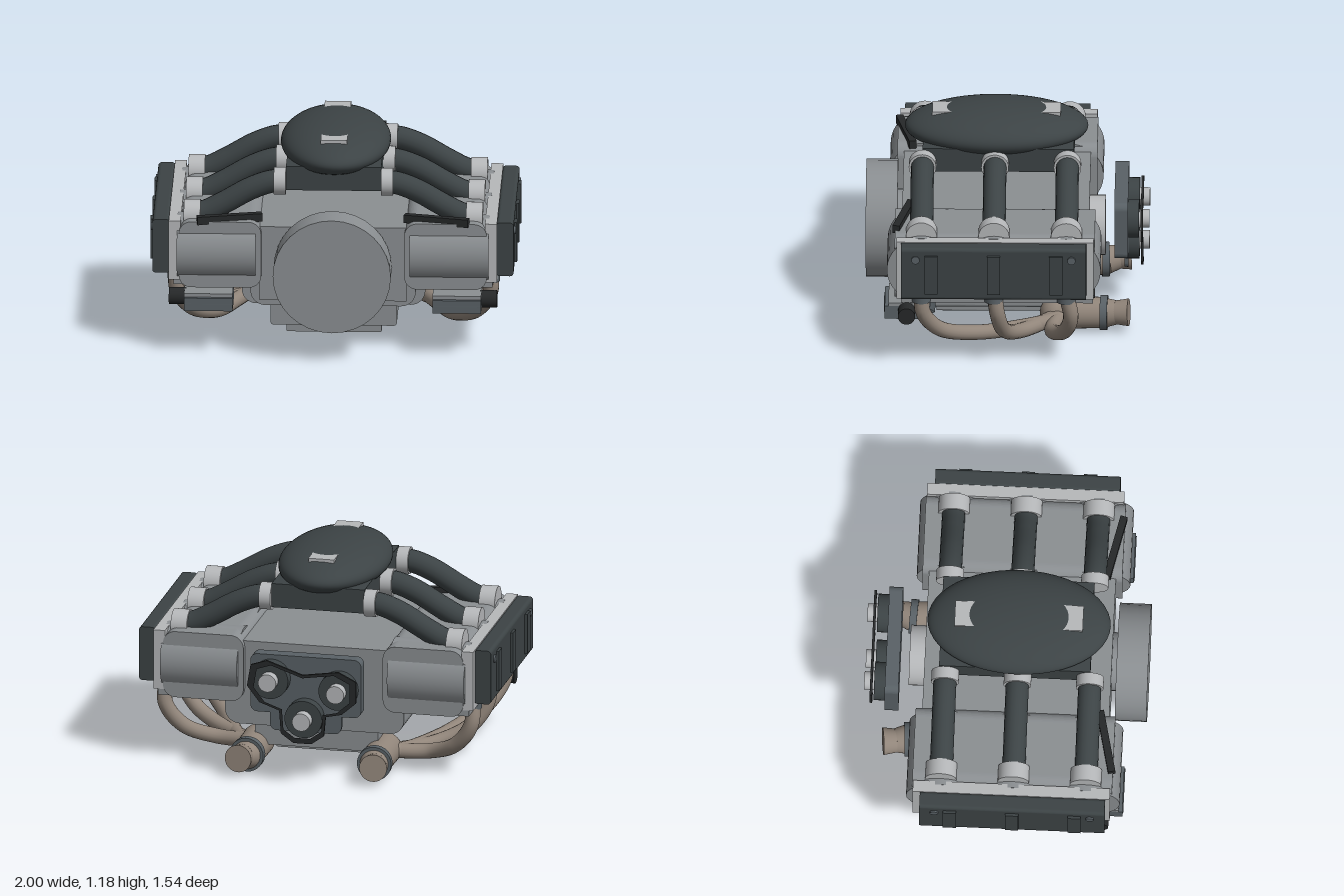
import * as THREE from 'three';

const mat = (color) => new THREE.MeshStandardMaterial({ color });
const BODY = mat(0x8b8f92), LIGHT = mat(0xb6b8ba), DARK = mat(0x3c4345);
const BLACK = mat(0x262829), TAN = mat(0x91857a), STEEL = mat(0x596166);
const V = (x, y, z) => new THREE.Vector3(x, y, z);

function add(parent, name, geometry, material) {
  const mesh = new THREE.Mesh(geometry, material);
  mesh.name = name;
  parent.add(mesh);
  return mesh;
}

// Box given by its limits
function box(parent, name, material, x0, x1, y0, y1, z0, z1) {
  const m = add(parent, name, new THREE.BoxGeometry(x1 - x0, y1 - y0, z1 - z0), material);
  m.position.set((x0 + x1) / 2, (y0 + y1) / 2, (z0 + z1) / 2);
  return m;
}

// Block with rounded lengthwise edges, running along z
function roundBlock(parent, name, material, x0, x1, y0, y1, z0, z1, r) {
  const s = new THREE.Shape();
  s.moveTo(x0 + r, y0);
  s.absarc(x1 - r, y0 + r, r, -Math.PI / 2, 0);
  s.absarc(x1 - r, y1 - r, r, 0, Math.PI / 2);
  s.absarc(x0 + r, y1 - r, r, Math.PI / 2, Math.PI);
  s.absarc(x0 + r, y0 + r, r, Math.PI, Math.PI * 1.5);
  const g = new THREE.ExtrudeGeometry(s, { depth: z1 - z0, bevelEnabled: false, curveSegments: 6 });
  return add(parent, name, g.translate(0, 0, z0), material);
}

// Round bar or cone between two points
function rod(parent, name, material, a, b, ra, rb = ra) {
  const dir = b.clone().sub(a);
  const m = add(parent, name, new THREE.CylinderGeometry(rb, ra, dir.length(), 32), material);
  m.position.copy(a).add(b).multiplyScalar(0.5);
  m.quaternion.setFromUnitVectors(V(0, 1, 0), dir.normalize());
  return m;
}

function pipe(parent, name, material, points, r) {
  const curve = new THREE.CatmullRomCurve3(points.map((p) => V(...p)));
  return add(parent, name, new THREE.TubeGeometry(curve, 40, r, 16), material);
}

const PORTS = [0.46, 0.065, -0.33];

// One bank of three cylinders; side is +1 or -1
function bank(side) {
  const g = new THREE.Group();
  g.name = side > 0 ? 'leftBank' : 'rightBank';
  const x = (v) => v * side;
  const span = (a, b) => (side > 0 ? [a, b] : [-b, -a]);

  roundBlock(g, 'cylinderHead', BODY, ...span(0.39, 0.84), 0.38, 0.755, -0.485, 0.605, 0.07);
  box(g, 'headFlange', LIGHT, ...span(0.83, 0.895), 0.42, 0.755, -0.48, 0.595);
  box(g, 'headRail', BODY, ...span(0.66, 0.87), 0.385, 0.46, -0.475, 0.57);
  roundBlock(g, 'valveCover', DARK, ...span(0.89, 0.985), 0.45, 0.755, -0.44, 0.57, 0.02);
  for (const z of [0.405, 0.065, -0.275])
    box(g, 'coverRib', DARK, ...span(0.97, 1), 0.49, 0.715, z - 0.036, z + 0.036);
  for (const z of [0.49, -0.36])
    rod(g, 'coverBolt', STEEL, V(x(0.97), 0.69, z), V(x(0.995), 0.69, z), 0.022);

  // Barrels, intake runners and exhaust flanges, one set per cylinder
  for (const z of PORTS) {
    rod(g, 'barrel', BODY, V(x(0.42), 0.57, z), V(x(0.85), 0.57, z), 0.188);
    pipe(g, 'intakeRunner', DARK, [[x(0.27), 0.95, z], [x(0.34), 0.945, z], [x(0.45), 0.905, z],
      [x(0.6), 0.82, z], [x(0.7), 0.77, z], [x(0.8), 0.75, z]], 0.063);
    rod(g, 'plenumCollar', LIGHT, V(x(0.26), 0.948, z), V(x(0.325), 0.948, z), 0.075, 0.075);
    rod(g, 'headCollar', LIGHT, V(x(0.725), 0.75, z), V(x(0.815), 0.75, z), 0.085);
    rod(g, 'exhaustFlange', STEEL, V(x(0.855), 0.39, z), V(x(0.855), 0.45, z), 0.052);
  }

  // Exhaust headers meeting in a collector
  const headers = [
    [[0.86, 0.43, 0.46], [0.855, 0.32, 0.45], [0.78, 0.19, 0.36], [0.65, 0.11, 0.17],
      [0.54, 0.095, -0.08], [0.45, 0.1, -0.26], [0.36, 0.1, -0.33]],
    [[0.86, 0.43, 0.06], [0.855, 0.31, 0.045], [0.77, 0.18, 0.01], [0.6, 0.1, -0.08], [0.38, 0.1, -0.3]],
    [[0.86, 0.43, -0.33], [0.855, 0.3, -0.355], [0.76, 0.17, -0.32], [0.6, 0.1, -0.25], [0.38, 0.1, -0.29]],
  ];
  for (const h of headers)
    pipe(g, 'exhaustHeader', TAN, h.map(([px, py, pz]) => [x(px), py, pz]), 0.042);
  add(g, 'collectorBall', new THREE.SphereGeometry(0.09, 28, 18), TAN).position.set(x(0.355), 0.1, -0.27);
  rod(g, 'collector', TAN, V(x(0.355), 0.1, -0.27), V(x(0.355), 0.1, -0.52), 0.09, 0.085);
  rod(g, 'collectorClamp', STEEL, V(x(0.355), 0.1, -0.51), V(x(0.357), 0.1, -0.55), 0.095);
  rod(g, 'tailpipe', TAN, V(x(0.357), 0.1, -0.54), V(x(0.37), 0.108, -0.6), 0.08, 0.066);
  rod(g, 'tailpipeTip', TAN, V(x(0.37), 0.108, -0.59), V(x(0.378), 0.112, -0.665), 0.064, 0.076);

  // Cooler under the front of the head
  const cooler = add(g, 'cooler', new THREE.CylinderGeometry(1, 1, 0.26, 6, 1), STEEL);
  cooler.geometry.rotateZ(Math.PI / 2).scale(1, 0.05, 0.14);
  cooler.position.set(x(0.675), 0.3, 0.525);
  box(g, 'coolerBody', STEEL, ...span(0.545, 0.81), 0.262, 0.335, 0.5, 0.66);
  box(g, 'coolerLid', BODY, ...span(0.545, 0.81), 0.335, 0.355, 0.41, 0.64);
  rod(g, 'coolerCap', BLACK, V(x(0.8), 0.31, 0.54), V(x(0.895), 0.31, 0.54), 0.047);

  // Slanted bar over the front of the head
  const bar = add(g, 'frontBar', new THREE.BoxGeometry(0.36, 0.045, 0.04), BLACK);
  bar.position.set(x(0.565), 0.762, 0.56);
  bar.rotation.y = -side * 0.22;
  return g;
}

// Pulleys and belt at the rear
function beltDrive() {
  const g = new THREE.Group();
  g.name = 'beltDrive';
  roundBlock(g, 'backPlate', STEEL, -0.31, 0.31, 0.39, 0.72, -0.66, -0.585, 0.04);
  roundBlock(g, 'lowerPlate', STEEL, -0.2, 0.2, 0.29, 0.52, -0.66, -0.64, 0.04);
  for (const [x, y] of [[0.19, 0.59], [-0.19, 0.55], [0, 0.38]]) {
    rod(g, 'pulley', DARK, V(x, y, -0.64), V(x, y, -0.72), 0.105);
    rod(g, 'pulleyHub', LIGHT, V(x, y, -0.71), V(x, y, -0.775), 0.05);
  }
  const outline = [[-0.3, 0.5], [-0.3, 0.62], [-0.2, 0.67], [0, 0.64], [0.2, 0.71], [0.29, 0.68],
    [0.31, 0.56], [0.24, 0.47], [0.13, 0.43], [0.12, 0.3], [0.05, 0.25], [-0.05, 0.25],
    [-0.12, 0.3], [-0.13, 0.41], [-0.22, 0.43]].map(([x, y]) => new THREE.Vector2(x, y));
  const mid = new THREE.Vector2(0, 0.5);
  const belt = new THREE.Shape(outline);
  belt.holes.push(new THREE.Path(outline.map((p) => p.clone().sub(mid).multiplyScalar(0.88).add(mid))));
  const geo = new THREE.ExtrudeGeometry(belt, { depth: 0.014, bevelEnabled: false });
  add(g, 'belt', geo.translate(0, 0, -0.742), BLACK);
  return g;
}

export function createModel() {
  const model = new THREE.Group();
  model.name = 'engine';

  // Crankcase and sump
  const block = new THREE.Group();
  block.name = 'crankcase';
  box(block, 'upperCase', BODY, -0.4, 0.4, 0.3, 0.72, -0.45, 0.57);
  roundBlock(block, 'lowerCase', BODY, -0.5, 0.5, 0.245, 0.5, -0.45, 0.46, 0.08);
  roundBlock(block, 'caseRib', BODY, -0.45, 0.45, 0.265, 0.5, -0.4, 0.55, 0.08);
  roundBlock(block, 'sump', BODY, -0.345, 0.345, 0.12, 0.3, -0.4, 0.45, 0.02);
  roundBlock(block, 'sumpPan', BODY, -0.26, 0.26, 0.062, 0.14, -0.25, 0.385, 0.01);
  model.add(block);

  // Front disc and the shaft collars
  rod(model, 'frontCollar', BODY, V(0, 0.5, 0.55), V(0, 0.5, 0.61), 0.16);
  rod(model, 'frontDisc', BODY, V(0, 0.5, 0.597), V(0, 0.5, 0.77), 0.322);
  rod(model, 'rearCollar', LIGHT, V(0, 0.465, -0.44), V(0, 0.465, -0.535), 0.165);

  // Intake plenum
  const plenum = new THREE.Group();
  plenum.name = 'intakePlenum';
  box(plenum, 'plenumBase', DARK, -0.26, 0.26, 0.895, 1.03, -0.365, 0.46);
  const dome = add(plenum, 'plenumDome', new THREE.SphereGeometry(1, 48, 32), DARK);
  dome.scale.set(0.3, 0.125, 0.5);
  dome.position.set(0, 1.06, 0.06);
  for (const z of [0.35, -0.23])
    box(plenum, 'plenumPad', LIGHT, -0.072, 0.072, 1.08, 1.165, z - 0.06, z + 0.06);
  model.add(plenum);

  model.add(bank(1), bank(-1), beltDrive());
  return model;
}
